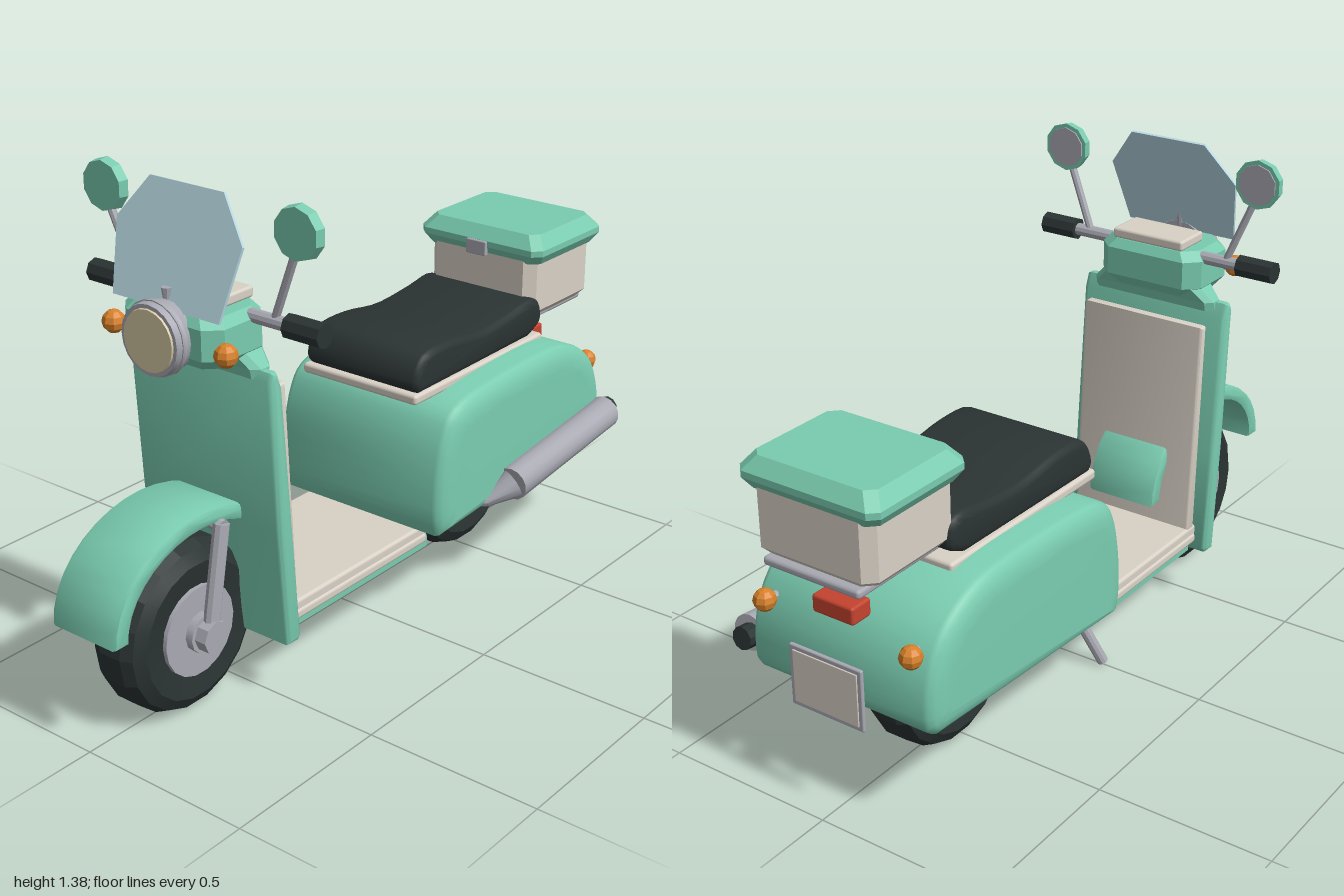
import * as THREE from 'three';
import { toCreasedNormals } from 'three/addons/utils/BufferGeometryUtils.js';
import { RoundedBoxGeometry } from 'three/addons/geometries/RoundedBoxGeometry.js';

const mat = (name, color, extra = {}) => Object.assign(new THREE.MeshStandardMaterial({ color, ...extra }), { name });

export function createModel() {
  const green = mat('mint paint', 0x7accb0);
  const cream = mat('cream', 0xd9d1c6);
  const metal = mat('brushed metal', 0xa9a9b3);
  const black = mat('black rubber', 0x2b3333);
  const orange = mat('amber', 0xd9822b);
  const red = mat('red lamp', 0xc4432f);
  const glass = mat('pale glass', 0xb8d9e3, { side: THREE.DoubleSide });
  const lens = mat('lamp lens', 0xd8cda8);

  const root = new THREE.Group();
  const add = (name, geo, m, x = 0, y = 0, z = 0) => {
    const mesh = new THREE.Mesh(geo, m);
    mesh.name = name;
    mesh.position.set(x, y, z);
    root.add(mesh);
    return mesh;
  };
  const crease = (g, a = 0.6) => toCreasedNormals(g, a);
  const box = (name, m, w, h, d, x, y, z, r = 0.01) =>
    add(name, new RoundedBoxGeometry(w, h, d, 2, r), m, x, y, z);

  // Cylinder or cone between two points
  const rod = (name, m, a, b, r0, r1 = r0, sides = 10) => {
    const p = new THREE.Vector3(...a), q = new THREE.Vector3(...b);
    const d = q.clone().sub(p);
    const mesh = add(name, crease(new THREE.CylinderGeometry(r1, r0, d.length(), sides)), m);
    mesh.position.copy(p).add(q).multiplyScalar(0.5);
    mesh.quaternion.setFromUnitVectors(new THREE.Vector3(0, 1, 0), d.normalize());
    return mesh;
  };

  // Side outline in (z, y), extruded across the width with an inset bevel
  const sideSolid = (name, m, shape, half, thick, size, segs = 3) => {
    const depth = 2 * (half - thick);
    const g = new THREE.ExtrudeGeometry(shape, {
      depth, curveSegments: 3, bevelEnabled: true,
      bevelThickness: thick, bevelSize: size, bevelOffset: -size, bevelSegments: segs,
    });
    g.translate(0, 0, -depth / 2).rotateY(-Math.PI / 2);
    return add(name, crease(g, 0.75), m);
  };
  const polygon = (pts) => new THREE.Shape(pts.map((p) => new THREE.Vector2(...p)));
  const spline = (pts) => {
    const v = pts.map((p) => new THREE.Vector2(...p));
    return new THREE.Shape().moveTo(v[0].x, v[0].y).splineThru(v.slice(1));
  };

  // Faceted block: chamfered rectangles [y, halfX, halfZ] stacked upwards
  const block = (name, m, levels, c, z) => {
    const pos = [], idx = [];
    for (const [y, a, b] of levels) {
      for (const [px, pz] of [[a, b - c], [a - c, b], [c - a, b], [-a, b - c],
        [-a, c - b], [c - a, -b], [a - c, -b], [a, c - b]]) pos.push(px, y, pz);
    }
    const top = (levels.length - 1) * 8;
    for (let l = 0; l < levels.length - 1; l++) for (let i = 0; i < 8; i++) {
      const p = l * 8 + i, q = l * 8 + (i + 1) % 8;
      idx.push(p, p + 8, q, q, p + 8, q + 8);
    }
    for (let i = 1; i < 7; i++) idx.push(0, i, i + 1, top, top + i + 1, top + i);
    const g = new THREE.BufferGeometry();
    g.setAttribute('position', new THREE.Float32BufferAttribute(pos, 3));
    g.setIndex(idx);
    const flat = g.toNonIndexed();
    flat.computeVertexNormals();
    return add(name, flat, m, 0, 0, z);
  };

  // Wheels
  const tyre = [[0.12, -0.075], [0.19, -0.085], [0.222, -0.066], [0.237, -0.035],
    [0.237, 0.035], [0.222, 0.066], [0.19, 0.085], [0.12, 0.075]].map((p) => new THREE.Vector2(...p));
  for (const [label, z, hub] of [['front', 0.68, metal], ['rear', -0.52, cream]]) {
    add(label + 'Tyre', crease(new THREE.LatheGeometry(tyre, 18).rotateZ(-Math.PI / 2), 0.3), black, 0, 0.24, z);
    rod(label + 'Rim', metal, [-0.088, 0.24, z], [0.088, 0.24, z], 0.125, 0.125, 18);
    rod(label + 'Hub', hub, [-0.11, 0.24, z], [0.11, 0.24, z], 0.055, 0.055, 12);
  }

  // Single-sided fork and axle nut
  rod('axleNut', metal, [0.1, 0.24, 0.68], [0.145, 0.24, 0.68], 0.045, 0.045, 8);
  rod('fork', metal, [0.122, 0.24, 0.68], [0.115, 0.53, 0.62], 0.022);
  rod('forkBridge', metal, [0.12, 0.52, 0.62], [0, 0.54, 0.62], 0.02);

  // Front mudguard: half elliptical band
  const arc = (a, b, dir) => Array.from({ length: 19 }, (_, i) => {
    const t = Math.PI * (dir > 0 ? i : 18 - i) / 18;
    return [0.68 + a * Math.cos(t), 0.33 + b * Math.sin(t)];
  });
  sideSolid('frontMudguard', green, polygon([...arc(0.318, 0.25, 1), ...arc(0.27, 0.205, -1)]), 0.112, 0.012, 0.012, 2);

  // Leg shield and its inner panel
  sideSolid('legShield', green, polygon([[0.51, 0.17], [0.54, 0.5], [0.566, 0.92], [0.557, 0.943],
    [0.538, 0.943], [0.522, 0.9], [0.487, 0.5], [0.46, 0.185], [0.47, 0.17]]), 0.24, 0.015, 0.012);
  sideSolid('innerPanel', cream, polygon([[0.458, 0.25], [0.49, 0.885], [0.465, 0.885], [0.425, 0.25]]), 0.2, 0.01, 0.008);
  block('neck', green, [[0.92, 0.2, 0.03], [0.945, 0.2, 0.035], [0.985, 0.16, 0.05]], 0.02, 0.54);

  // Floor and underside tray
  box('floorBoard', cream, 0.4, 0.06, 0.62, 0, 0.225, 0.17);
  box('floorRim', cream, 0.41, 0.03, 0.6, 0, 0.215, 0.165);
  block('underTray', green, [[0.16, 0.15, 0.28], [0.185, 0.2, 0.305], [0.215, 0.2, 0.305]], 0.02, 0.145);

  // Rear body with bulging sides
  sideSolid('rearBody', green, spline([[-0.09, 0.255], [-0.072, 0.32], [-0.077, 0.45], [-0.105, 0.56], [-0.16, 0.625],
    [-0.3, 0.65], [-0.6, 0.658], [-0.74, 0.635], [-0.85, 0.565], [-0.905, 0.46], [-0.912, 0.34], [-0.88, 0.3]]), 0.298, 0.035, 0.07, 4);

  // Seat
  box('seatBase', cream, 0.4, 0.03, 0.63, 0, 0.65, -0.39);
  sideSolid('seat', black, spline([[-0.1, 0.662], [-0.083, 0.69], [-0.1, 0.74], [-0.145, 0.773], [-0.26, 0.775],
    [-0.4, 0.757], [-0.55, 0.768], [-0.65, 0.782], [-0.695, 0.76], [-0.7, 0.7], [-0.64, 0.668]]), 0.198, 0.02, 0.02);

  // Rear rack and top box
  box('rack', metal, 0.3, 0.025, 0.34, 0, 0.697, -0.82);
  block('topBox', cream, [[0.708, 0.165, 0.145], [0.73, 0.185, 0.165], [0.89, 0.185, 0.165]], 0.03, -0.82);
  block('topBoxLid', green, [[0.882, 0.195, 0.16], [0.912, 0.215, 0.179], [0.93, 0.215, 0.179], [0.968, 0.185, 0.15]], 0.025, -0.82);
  box('boxClasp', metal, 0.07, 0.045, 0.016, 0, 0.907, -0.641, 0.004);

  // Tail lamp and number plate
  box('tailLamp', red, 0.13, 0.05, 0.07, 0, 0.575, -0.885, 0.008);
  box('plateBracket', metal, 0.06, 0.05, 0.06, 0, 0.4, -0.93);
  box('plateFrame', metal, 0.23, 0.175, 0.012, 0, 0.375, -0.952, 0.004);
  box('plate', cream, 0.205, 0.15, 0.006, 0, 0.375, -0.958, 0.002);

  // Exhaust
  rod('silencer', metal, [0.322, 0.325, -0.38], [0.322, 0.382, -0.885], 0.05, 0.05, 14);
  rod('exhaustCone', metal, [0.285, 0.285, -0.305], [0.322, 0.325, -0.385], 0.015, 0.045, 12);
  rod('exhaustPipe', metal, [0.2, 0.28, -0.25], [0.288, 0.287, -0.31], 0.016);
  rod('exhaustTip', black, [0.312, 0.38, -0.87], [0.312, 0.386, -0.922], 0.032);

  // Side stand
  rod('sideStand', metal, [-0.11, 0.18, -0.045], [-0.18, 0.012, 0.003], 0.016);

  // Handlebar housing, dash and headlamp
  block('headset', green, [[0.953, 0.14, 0.08], [0.985, 0.165, 0.107], [1.065, 0.165, 0.107], [1.09, 0.145, 0.09]], 0.04, 0.577);
  box('dash', cream, 0.23, 0.03, 0.12, 0, 1.107, 0.54, 0.008);
  rod('headlampShell', metal, [0, 1.025, 0.66], [0, 1.025, 0.715], 0.088, 0.098, 20);
  rod('headlampRing', metal, [0, 1.025, 0.7], [0, 1.025, 0.732], 0.098, 0.092, 20);
  rod('headlampLens', lens, [0, 1.025, 0.725], [0, 1.025, 0.737], 0.084, 0.08, 20);
  rod('headlampKnob', metal, [0, 1.1, 0.665], [0, 1.143, 0.665], 0.008, 0.014, 8);

  // Windscreen, leaning back
  const screen = new THREE.ExtrudeGeometry(polygon([[-0.175, 0], [0.175, 0], [0.205, 0.19], [0.12, 0.305],
    [-0.12, 0.305], [-0.205, 0.19]]), { depth: 0.008, bevelEnabled: false });
  add('windscreen', screen, glass, 0, 1.088, 0.668).rotation.x = -0.3;

  // Mirrored controls, mirrors and indicators
  for (const s of [-1, 1]) {
    const side = s > 0 ? 'left' : 'right';
    rod(side + 'Bar', metal, [s * 0.15, 1.07, 0.535], [s * 0.28, 1.07, 0.535], 0.018);
    rod(side + 'Grip', black, [s * 0.272, 1.07, 0.535], [s * 0.383, 1.07, 0.535], 0.032, 0.032, 8);
    rod(side + 'MirrorStem', metal, [s * 0.23, 1.08, 0.535], [s * 0.312, 1.28, 0.547], 0.011, 0.011, 8);
    rod(side + 'MirrorShell', green, [s * 0.316, 1.312, 0.534], [s * 0.316, 1.312, 0.562], 0.07, 0.066, 10);
    rod(side + 'MirrorGlass', metal, [s * 0.316, 1.312, 0.534], [s * 0.316, 1.312, 0.53], 0.058, 0.058, 10);
    for (const [end, x, y, z, inX, inZ] of [['Front', 0.187, 1.012, 0.665, 0.14, 0.63], ['Rear', 0.232, 0.522, -0.91, 0.22, -0.85]]) {
      const bulb = new THREE.SphereGeometry(0.031, 8, 6).toNonIndexed();
      bulb.computeVertexNormals();
      add(side + end + 'Indicator', bulb, orange, s * x, y, z);
      rod(side + end + 'IndicatorStalk', metal, [s * inX, y, inZ], [s * x, y, z], 0.012, 0.012, 8);
    }
  }
  return root;
}
